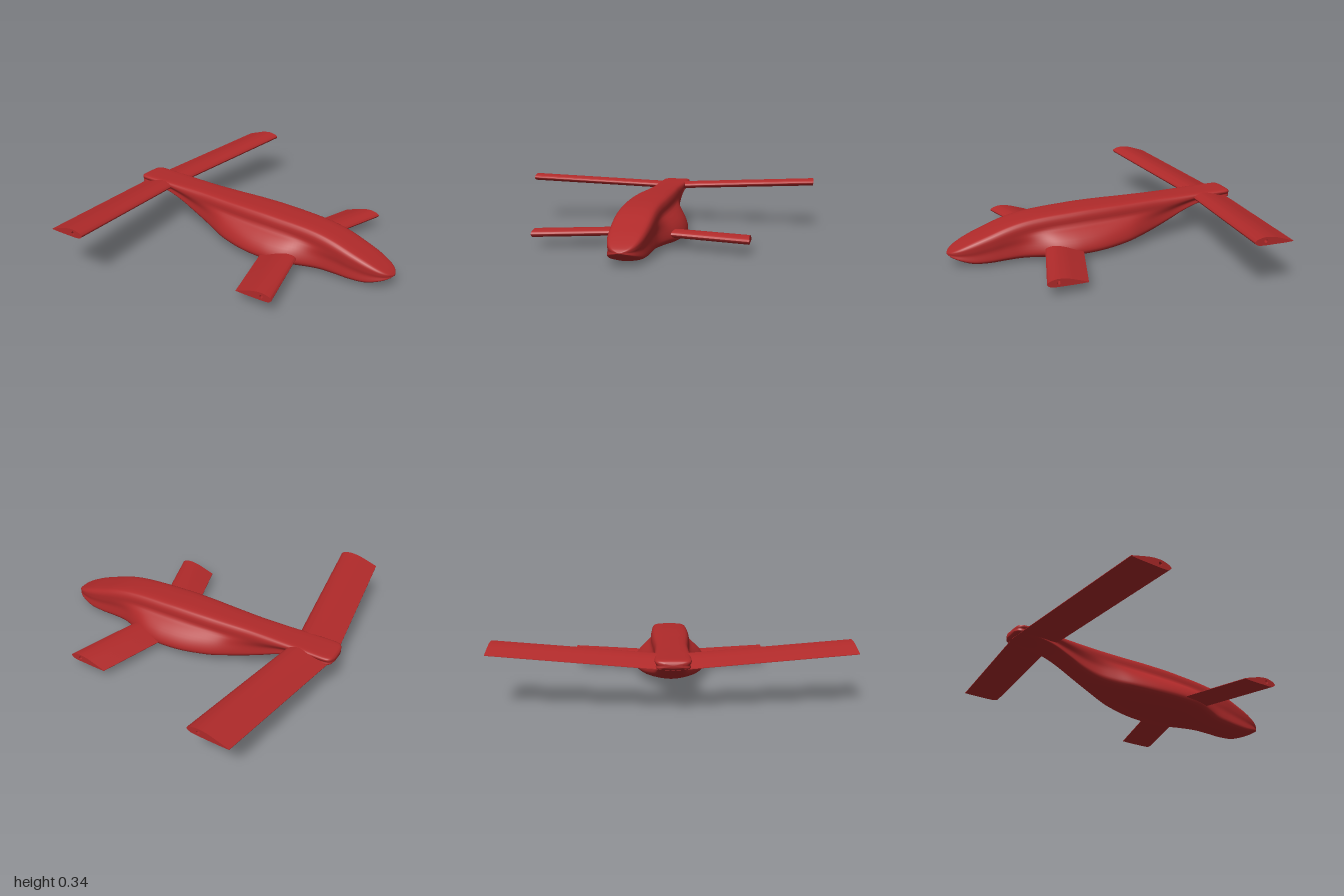
import * as THREE from 'three';
import { toCreasedNormals } from 'three/addons/utils/BufferGeometryUtils.js';

const red = new THREE.MeshStandardMaterial({ color: 0xb02a2a });

// Fuselage stations from tail to nose: x, bottom y, top y, upper half width, lower half width
const stations = [
  [-0.95, 0.25, 0.275, 0.045, 0.045],
  [-0.935, 0.238, 0.287, 0.082, 0.08],
  [-0.9, 0.234, 0.291, 0.097, 0.092],
  [-0.8, 0.226, 0.291, 0.097, 0.09],
  [-0.7, 0.208, 0.291, 0.097, 0.085],
  [-0.6, 0.165, 0.29, 0.097, 0.082],
  [-0.5, 0.113, 0.29, 0.098, 0.085],
  [-0.4, 0.072, 0.29, 0.1, 0.1],
  [-0.3, 0.046, 0.29, 0.106, 0.132],
  [-0.2, 0.03, 0.29, 0.112, 0.172],
  [-0.1, 0.02, 0.291, 0.118, 0.2],
  [0, 0.013, 0.291, 0.122, 0.22],
  [0.1, 0.01, 0.29, 0.124, 0.23],
  [0.2, 0.01, 0.286, 0.124, 0.23],
  [0.3, 0.01, 0.282, 0.122, 0.212],
  [0.4, 0.01, 0.275, 0.12, 0.168],
  [0.5, 0.008, 0.262, 0.119, 0.13],
  [0.6, 0.006, 0.238, 0.118, 0.118],
  [0.7, 0.005, 0.203, 0.113, 0.113],
  [0.8, 0.014, 0.166, 0.102, 0.102],
  [0.88, 0.043, 0.13, 0.08, 0.08],
  [0.925, 0.066, 0.106, 0.05, 0.05],
  [0.945, 0.08, 0.09, 0.015, 0.015],
];

// Half cross-section: upper width share, lower width share, height fraction
const halfRing = [
  [0, 0, 0], [0, 0.5, 0.03], [0, 0.85, 0.09], [0, 0.99, 0.17], [0, 0.99, 0.28],
  [0.15, 0.8, 0.45], [0.6, 0.38, 0.59], [0.97, 0.02, 0.7], [0.98, 0, 0.84],
  [0.87, 0, 0.95], [0.6, 0, 0.99], [0, 0, 1],
];

function fuselageGeometry(rows = 110, around = 56) {
  const spline = (pick) => new THREE.CatmullRomCurve3(
    stations.map((s) => new THREE.Vector3(...pick(s))), false, 'catmullrom', 0.5);
  const heights = spline((s) => [s[0], s[1], s[2]]);
  const widths = spline((s) => [s[0], s[3], s[4]]);
  const positions = [], index = [];
  for (let i = 0; i <= rows; i++) {
    const h = heights.getPoint(i / rows), w = widths.getPoint(i / rows);
    const half = halfRing.map(([u, l, v]) =>
      new THREE.Vector3(h.x, h.y + (h.z - h.y) * v, u * w.y + l * w.z));
    const mirrored = half.slice(1, -1).reverse().map((p) => new THREE.Vector3(p.x, p.y, -p.z));
    const ring = new THREE.CatmullRomCurve3([...half, ...mirrored], true);
    for (let j = 0; j < around; j++) positions.push(...ring.getPoint(j / around).toArray());
  }
  for (let i = 0; i < rows; i++) for (let j = 0; j < around; j++) {
    const a = i * around + j, b = i * around + (j + 1) % around;
    index.push(a, a + around, b, b, a + around, b + around);
  }
  // Close tail and nose
  for (const [row, x] of [[0, -0.952], [rows, 0.948]]) {
    const [, lo, hi] = stations[row ? stations.length - 1 : 0];
    const centre = positions.length / 3;
    positions.push(x, (lo + hi) / 2, 0);
    for (let j = 0; j < around; j++) {
      const a = row * around + j, b = row * around + (j + 1) % around;
      index.push(...(row ? [centre, b, a] : [centre, a, b]));
    }
  }
  const g = new THREE.BufferGeometry();
  g.setAttribute('position', new THREE.Float32BufferAttribute(positions, 3));
  g.setIndex(index);
  g.computeVertexNormals();
  return g;
}

// Straight-chord wing through the body, swept forward and raised towards both tips
function wing(name, { span, chord, x, y, sweep, dihedral }) {
  const shape = new THREE.Shape();
  shape.moveTo(0, 0);
  shape.splineThru([[0.2, -0.001], [0.5, 0], [0.8, 0.002], [0.93, 0.008], [1, 0.024],
    [0.95, 0.038], [0.85, 0.046], [0.72, 0.05], [0.5, 0.043], [0.25, 0.024], [0, 0.003]]
    .map(([u, v]) => new THREE.Vector2(u * chord, v)));
  shape.closePath();
  // Spar bore seen at the tips
  const bore = new THREE.Path();
  bore.absarc(0.72 * chord, 0.026, 0.011, 0, Math.PI * 2, true);
  shape.holes.push(bore);
  const g = new THREE.ExtrudeGeometry(shape,
    { depth: 2 * span, steps: 2, bevelEnabled: false, curveSegments: 5 });
  g.translate(0, 0, -span);
  const p = g.attributes.position;
  for (let i = 0; i < p.count; i++) {
    const out = Math.abs(p.getZ(i));
    p.setXYZ(i, p.getX(i) + x + sweep * out, p.getY(i) + y + dihedral * out, p.getZ(i));
  }
  const mesh = new THREE.Mesh(toCreasedNormals(g, 0.7), red);
  mesh.name = name;
  return mesh;
}

export function createModel() {
  const model = new THREE.Group();
  model.name = 'canardAircraft';
  const fuselage = new THREE.Mesh(fuselageGeometry(), red);
  fuselage.name = 'fuselage';
  model.add(
    fuselage,
    wing('rearWing', { span: 1, chord: 0.25, x: -0.932, y: 0.234, sweep: 0.133, dihedral: 0.056 }),
    wing('frontWing', { span: 0.64, chord: 0.245, x: 0.083, y: 0.064, sweep: 0.3, dihedral: 0 }),
  );
  return model;
}
